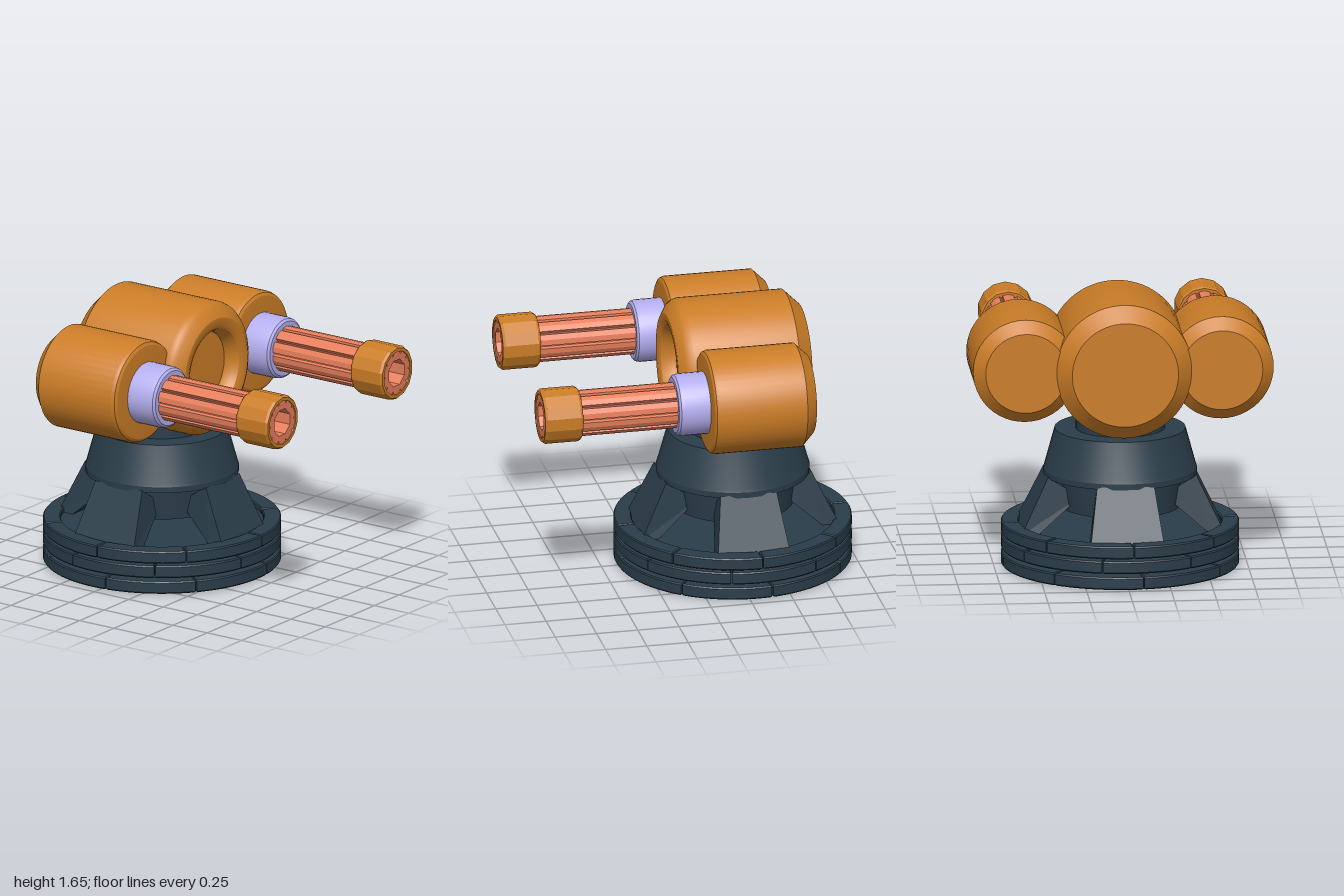
import * as THREE from 'three';
import { toCreasedNormals } from 'three/addons/utils/BufferGeometryUtils.js';

const paint = (color) => new THREE.MeshStandardMaterial({ color });
const steel = paint(0x2a3d4a), orange = paint(0xcb7d27), copper = paint(0xe87f5c), lilac = paint(0xb4aeee);

const BASE_Z = -0.295, AXIS_Y = 1.245;

function add(parent, name, geometry, material) {
  const mesh = new THREE.Mesh(geometry, material);
  mesh.name = name;
  parent.add(mesh);
  return mesh;
}

// Turned part about y from [radius, height] pairs, listed bottom to top
function turned(points, sides = 48, crease = 0.4) {
  const profile = points.map(([r, y]) => new THREE.Vector2(r, y));
  return toCreasedNormals(new THREE.LatheGeometry(profile, sides), crease);
}

// The same, with the axis laid along z (listed back to front)
const turnedZ = (points, sides, crease) => turned(points, sides, crease).rotateX(Math.PI / 2);

// One bevelled arc plate of the base
function plateGeometry() {
  const half = Math.PI / 8 - 0.005, outer = 0.705, inner = 0.6;
  const shape = new THREE.Shape();
  shape.absarc(0, 0, outer, -half, half, false);
  shape.absarc(0, 0, inner, half, -half, true);
  shape.closePath();
  const geo = new THREE.ExtrudeGeometry(shape, {
    depth: 0.059, bevelEnabled: true, bevelThickness: 0.008, bevelSize: 0.006,
    bevelOffset: -0.006, bevelSegments: 1, curveSegments: 6,
  });
  return toCreasedNormals(geo.translate(0, 0, 0.008).rotateX(-Math.PI / 2), 0.4);
}

// Splayed foot leaning out towards +z
function legGeometry() {
  const geo = new THREE.BoxGeometry(2, 2, 2);
  const p = geo.attributes.position;
  for (let i = 0; i < p.count; i++) {
    const top = p.getY(i) > 0, out = p.getZ(i) > 0;
    const x = Math.sign(p.getX(i)) * (top ? 0.17 : 0.22);
    const r = out ? (top ? 0.44 : 0.6) : (top ? 0.25 : 0.5);
    const y = top ? (out ? 0.57 : 0.45) : 0.235;
    p.setXYZ(i, x, y, r);
  }
  const flat = geo.toNonIndexed();
  flat.computeVertexNormals();
  return flat;
}

// Fluted tube with an eight-sided bore
function barrelGeometry(length) {
  const shape = new THREE.Shape(), flutes = 10;
  for (let i = 0; i < flutes; i++) {
    [[0.04, 0.116], [0.12, 0.137], [0.5, 0.14], [0.88, 0.137], [0.96, 0.116]].forEach(([t, r], k) => {
      const a = ((i + t) / flutes) * Math.PI * 2;
      shape[i + k === 0 ? 'moveTo' : 'lineTo'](Math.cos(a) * r, Math.sin(a) * r);
    });
  }
  shape.closePath();
  const bore = new THREE.Path();
  for (let i = 0; i <= 8; i++) {
    const a = -(i / 8) * Math.PI * 2 + Math.PI / 8;
    bore[i ? 'lineTo' : 'moveTo'](Math.cos(a) * 0.085, Math.sin(a) * 0.085);
  }
  shape.holes.push(bore);
  return new THREE.ExtrudeGeometry(shape, { depth: length, bevelEnabled: false });
}

function createBase() {
  const base = new THREE.Group();
  base.name = 'base';
  base.position.z = BASE_Z;

  // Three stacked discs, each rimmed with eight plates
  const plate = plateGeometry();
  [[0.008, 0.127], [0.105, 0.56], [0.195, 0.042]].forEach(([y, turn], level) => {
    const floor = level === 2 ? 0.045 : 0.07;
    const ring = new THREE.Group();
    ring.name = 'baseRing';
    base.add(ring);
    const low = level === 0 ? 0 : y + 0.003;
    add(ring, 'baseDisc', turned([[0, low], [level === 0 ? 0.66 : 0.63, low], [0.63, y + floor], [0, y + floor]], 64), steel);
    for (let i = 0; i < 8; i++) {
      const seg = add(ring, 'rimPlate', plate, steel);
      seg.position.y = y;
      seg.rotation.y = turn - Math.PI / 2 + Math.PI / 8 + (i * Math.PI) / 4;
    }
  });

  // Four legs
  const leg = legGeometry();
  for (let i = 0; i < 4; i++) add(base, 'leg', leg, steel).rotation.y = (i * Math.PI) / 2;

  // Pedestal and neck
  add(base, 'pedestal', turned([[0, 0.36], [0.36, 0.36], [0.38, 0.555], [0.455, 0.555], [0.455, 0.59],
    [0.448, 0.61], [0.388, 0.83], [0, 0.83]], 48, 0.2), steel);
  add(base, 'neck', turned([[0.265, 0.82], [0.265, 1.15], [0, 1.15]]), steel);
  return base;
}

// Side drum with its collar, barrel and muzzle
function createGun() {
  const gun = new THREE.Group();
  add(gun, 'sideDrum', turnedZ([[0, -0.625], [0.24, -0.625], [0.31, -0.555], [0.31, -0.03], [0.302, -0.01],
    [0.285, 0], [0.235, 0.004], [0, 0.004]]), orange);
  add(gun, 'collar', turnedZ([[0.186, -0.05], [0.186, 0.155], [0.18, 0.18], [0.166, 0.192], [0, 0.192]], 32), lilac);
  add(gun, 'barrel', barrelGeometry(0.82), copper).position.z = 0.175;
  add(gun, 'muzzle', turnedZ([[0.13, 0.77], [0.155, 0.77], [0.165, 0.785], [0.165, 0.985], [0.155, 1],
    [0.135, 1], [0.13, 0.985], [0.13, 0.77]], 14, 0.3), orange);
  add(gun, 'boreFloor', new THREE.CircleGeometry(0.1, 16), copper).position.z = 0.85;
  return gun;
}

export function createModel() {
  const model = new THREE.Group();
  model.name = 'turret';
  model.add(createBase());

  // Central drum with a recessed front
  const drum = add(model, 'centralDrum', turnedZ([[0, -0.71], [0.315, -0.71], [0.405, -0.62], [0.405, 0.01],
    [0.396, 0.04], [0.375, 0.066], [0.32, 0.1], [0.28, 0.1], [0.25, 0.085], [0.232, 0.055],
    [0.22, 0.02], [0.22, 0], [0, 0]], 64, 0.5), orange);
  drum.position.y = AXIS_Y;

  // Guns on both sides
  for (const side of [1, -1]) {
    const gun = createGun();
    gun.name = side > 0 ? 'leftGun' : 'rightGun';
    gun.position.set(side * 0.582, AXIS_Y, 0);
    model.add(gun);
  }
  return model;
}
